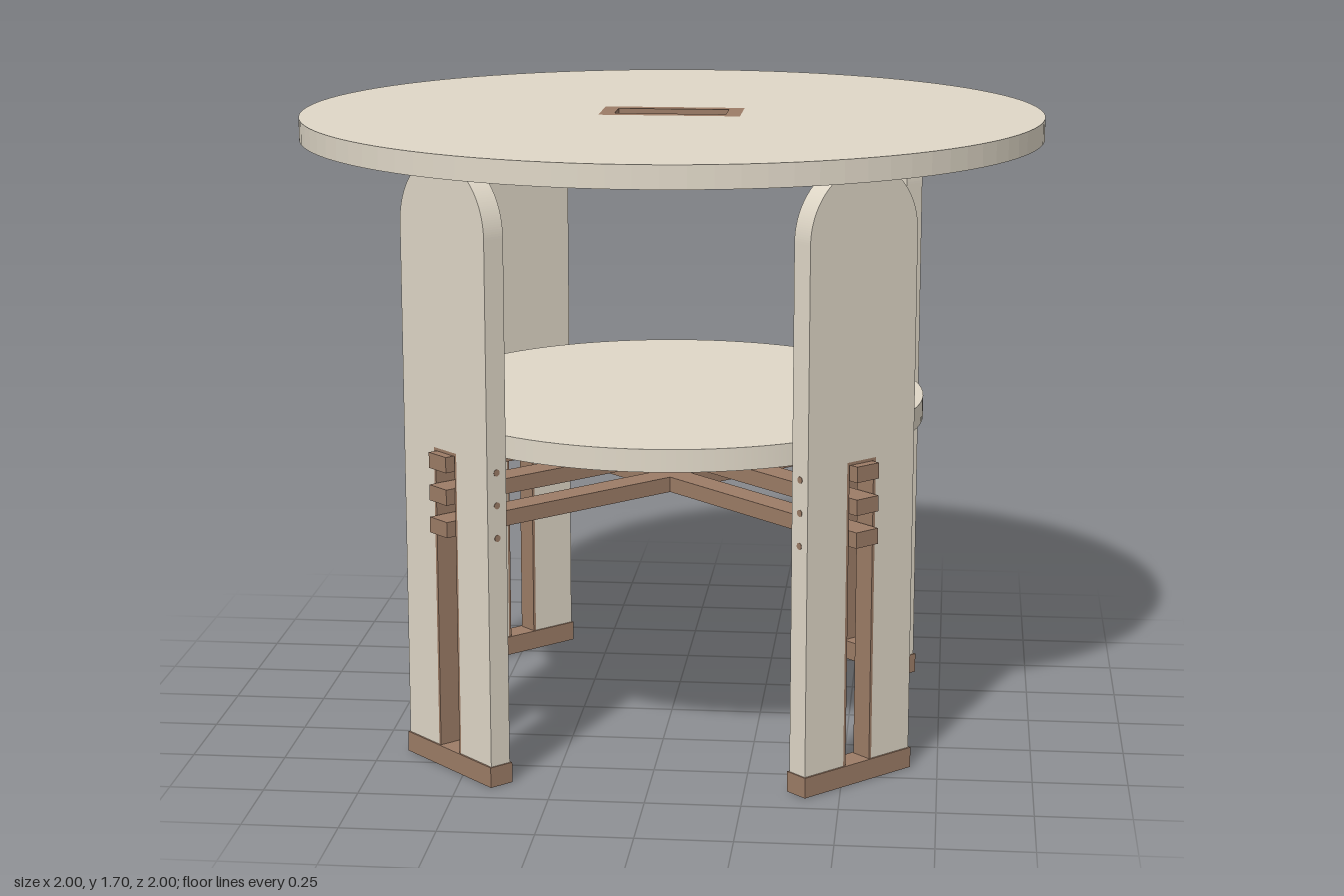
import * as THREE from 'three';

const cream = new THREE.MeshStandardMaterial({ color: 0xdfd7c7 });
const wood = new THREE.MeshStandardMaterial({ color: 0x9c7c66 });

const LEG_R = 0.735, LEG_W = 0.37, LEG_T = 0.06; // leg centre distance, width, thickness
const SLOT = 0.1, SLOT_TOP = 0.873, LINING = 0.008, FOOT_H = 0.055;
const BAR_W = 0.076, BAR_H = 0.042, BAR_END = 0.79, BAR_YS = [0.844, 0.757, 0.67];

function add(parent, name, geometry, material, x = 0, y = 0, z = 0) {
  const mesh = new THREE.Mesh(geometry, material);
  mesh.name = name;
  mesh.position.set(x, y, z);
  parent.add(mesh);
  return mesh;
}

const extrude = (shape, depth) =>
  new THREE.ExtrudeGeometry(shape, { depth, bevelEnabled: false, curveSegments: 48 });

const rectPoints = (w, h) =>
  [[-w, -h], [w, -h], [w, h], [-w, h]].map(([x, y]) => new THREE.Vector2(x / 2, y / 2));

// Round-topped board with a slot open at the bottom
function legShape() {
  const w = LEG_W / 2, s = SLOT / 2;
  const shape = new THREE.Shape();
  shape.moveTo(s, FOOT_H);
  shape.lineTo(w, FOOT_H);
  shape.lineTo(w, 1.635 - w);
  shape.absarc(0, 1.635 - w, w, 0, Math.PI, false);
  shape.lineTo(-w, FOOT_H);
  shape.lineTo(-s, FOOT_H);
  shape.lineTo(-s, SLOT_TOP);
  shape.lineTo(s, SLOT_TOP);
  shape.closePath();
  return shape;
}

// Thin upside-down U that lines the slot
function liningShape() {
  const o = SLOT / 2, i = o - LINING, top = SLOT_TOP - LINING;
  return new THREE.Shape([
    [i, FOOT_H], [o, FOOT_H], [o, SLOT_TOP], [-o, SLOT_TOP],
    [-o, FOOT_H], [-i, FOOT_H], [-i, top], [i, top],
  ].map(([x, y]) => new THREE.Vector2(x, y)));
}

function makeLeg() {
  const leg = new THREE.Group();
  const back = LEG_R - LEG_T / 2;
  add(leg, 'legBoard', extrude(legShape(), LEG_T), cream, 0, 0, back);
  add(leg, 'slotLining', extrude(liningShape(), LEG_T), wood, 0, 0, back);
  add(leg, 'foot', new THREE.BoxGeometry(LEG_W + 0.008, FOOT_H, LEG_T + 0.01), wood, 0, FOOT_H / 2, LEG_R);
  // Dowel ends showing on both narrow edges
  for (const y of BAR_YS) for (const side of [-1, 1]) {
    const pin = add(leg, 'dowel', new THREE.CylinderGeometry(0.009, 0.009, 0.03, 16), wood,
      side * (LEG_W / 2 - 0.0135), y, LEG_R);
    pin.rotation.z = Math.PI / 2;
  }
  return leg;
}

export function createModel() {
  const table = new THREE.Group();
  table.name = 'roundTable';

  // Round top with a framed rectangular opening
  const top = new THREE.Shape().absarc(0, 0, 1, 0, Math.PI * 2, false);
  top.holes.push(new THREE.Path(rectPoints(0.38, 0.18).reverse()));
  const frame = new THREE.Shape(rectPoints(0.38, 0.18));
  frame.holes.push(new THREE.Path(rectPoints(0.3, 0.1).reverse()));
  for (const [name, shape, material] of [['tableTop', top, cream], ['openingFrame', frame, wood]]) {
    add(table, name, extrude(shape, 0.06), material, 0, 1.635, 0).rotation.x = -Math.PI / 2;
  }

  // Lower shelf resting on the crossbars
  add(table, 'lowerShelf', new THREE.CylinderGeometry(0.69, 0.69, 0.06, 96), cream, 0, 0.895, 0);

  // Four legs on the diagonals, each with its half of the crossing bars
  for (let i = 0; i < 4; i++) {
    const leg = makeLeg();
    leg.name = ['frontLeftLeg', 'backLeftLeg', 'backRightLeg', 'frontRightLeg'][i];
    leg.rotation.y = Math.PI / 4 + i * Math.PI / 2;
    const start = i % 2 ? BAR_W / 2 : 0; // one diagonal butts against the other
    for (const y of BAR_YS) {
      add(leg, 'crossbar', new THREE.BoxGeometry(BAR_W, BAR_H, BAR_END - start), wood,
        0, y, (BAR_END + start) / 2);
    }
    table.add(leg);
  }
  return table;
}
